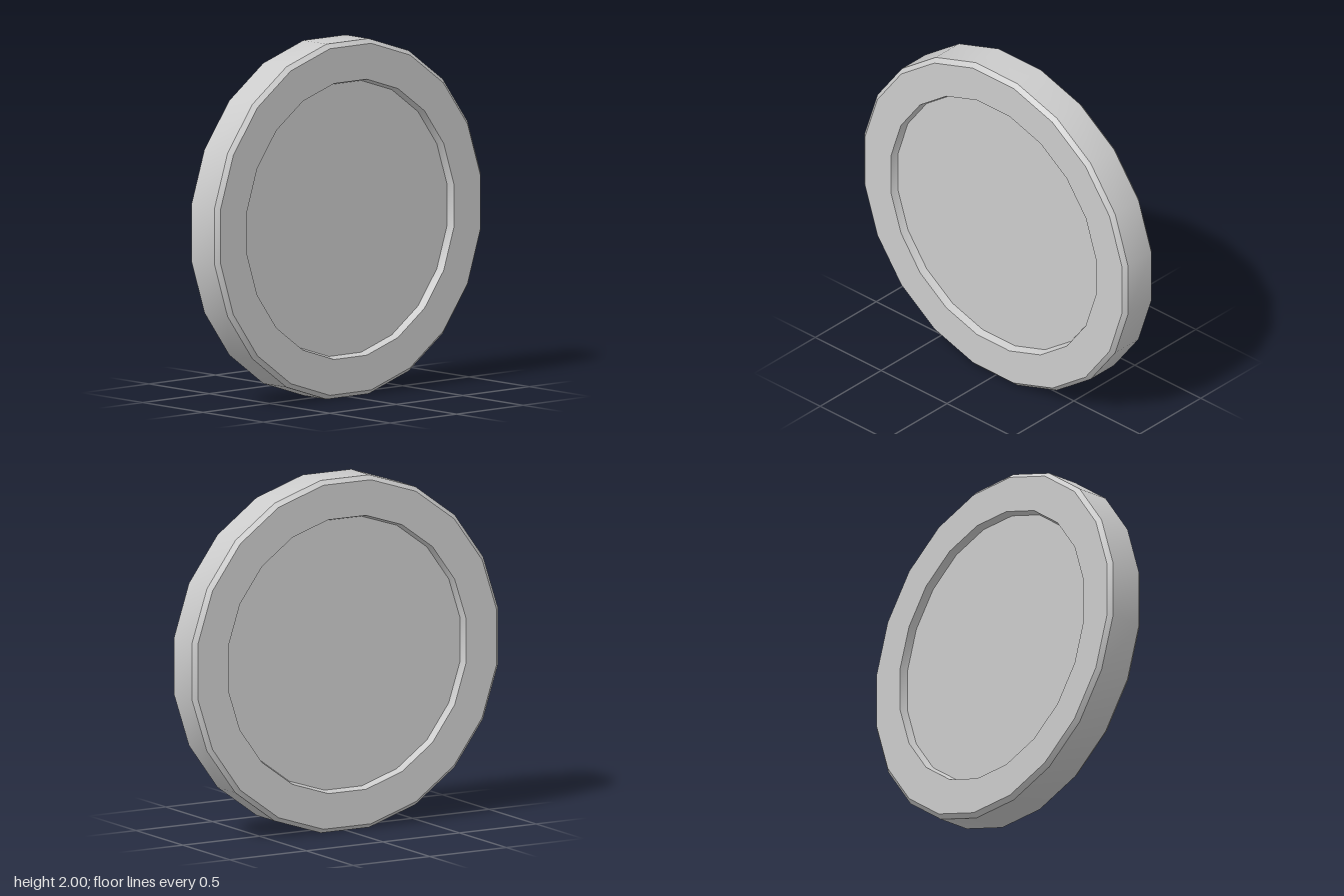
import * as THREE from 'three';
import { toCreasedNormals } from 'three/addons/utils/BufferGeometryUtils.js';

const SIDES = 20;
const CORNER = 1 / Math.cos(Math.PI / SIDES); // flat-to-flat radius -> corner radius
const HALF = 0.12;       // half thickness
const BEVEL = 0.024;
const FLOOR = 0.075;     // half thickness inside the recesses
const FLOOR_RADIUS = 0.765;

export function createModel() {
  const group = new THREE.Group();
  const material = new THREE.MeshStandardMaterial({ color: 0xcccccc });

  // Rim: one half of the cross-section, mirrored to the other face
  const half = [
    [1, HALF - BEVEL],
    [1 - BEVEL, HALF],
    [0.777, HALF],
    [FLOOR_RADIUS, FLOOR],
  ];
  const profile = [
    ...half.map(([r, h]) => [r, -h]).reverse(),
    ...half,
  ].map(([r, h]) => new THREE.Vector2(r * CORNER, h));
  const rimGeometry = new THREE.LatheGeometry(profile, SIDES, Math.PI / SIDES);
  rimGeometry.rotateX(Math.PI / 2);
  const rim = new THREE.Mesh(toCreasedNormals(rimGeometry, Math.PI / 6), material);
  rim.name = 'rim';
  group.add(rim);

  // Flat recessed discs on both faces
  for (const side of [1, -1]) {
    const geometry = new THREE.CircleGeometry(FLOOR_RADIUS * CORNER, SIDES, Math.PI / SIDES);
    const disc = new THREE.Mesh(geometry, material);
    disc.name = side > 0 ? 'frontDisc' : 'backDisc';
    disc.position.z = side * FLOOR;
    if (side < 0) disc.rotation.y = Math.PI;
    group.add(disc);
  }

  // Stand on the ground
  for (const part of group.children) part.position.y = 1;
  return group;
}
